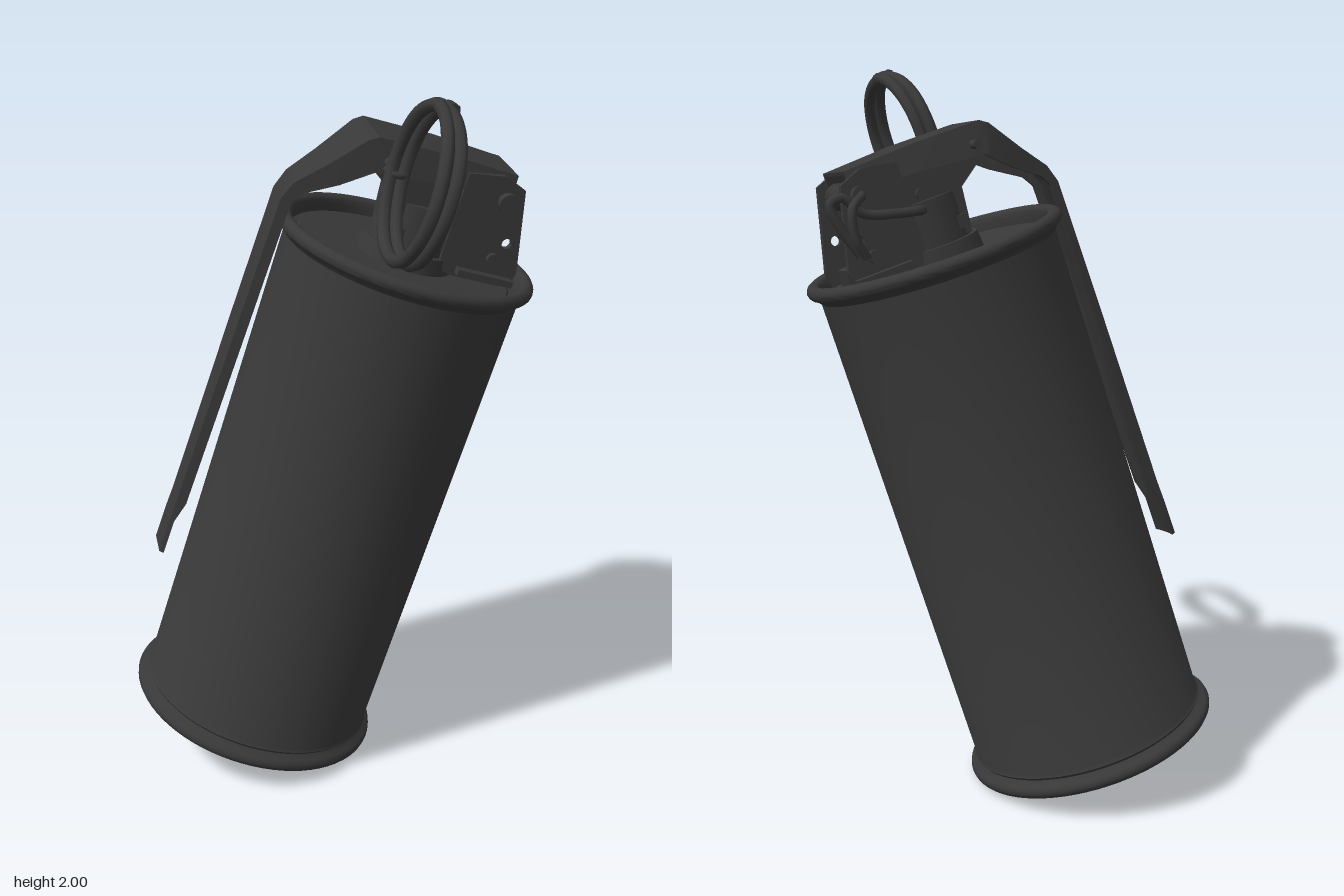
import * as THREE from 'three';
import { toCreasedNormals } from 'three/addons/utils/BufferGeometryUtils.js';

const metal = new THREE.MeshStandardMaterial({ color: 0x383838, side: THREE.DoubleSide });
metal.name = 'dark metal';

function add(parent, name, geometry, x = 0, y = 0, z = 0) {
  const mesh = new THREE.Mesh(geometry, metal);
  mesh.name = name;
  mesh.position.set(x, y, z);
  parent.add(mesh);
  return mesh;
}

// Cylinder lying along x
function rod(parent, name, r, length, x, y, z, sides = 20) {
  const g = new THREE.CylinderGeometry(r, r, length, sides).rotateZ(Math.PI / 2);
  return add(parent, name, g, x, y, z);
}

function tube(parent, name, points, r, segments = 40) {
  const curve = new THREE.CatmullRomCurve3(points.map(p => new THREE.Vector3(...p)));
  return add(parent, name, new THREE.TubeGeometry(curve, segments, r, 8), 0, 0, 0);
}

// Plate drawn in the z-y plane, given thickness along x and centred on x
function sidePlate(parent, name, outline, thickness, x, holes = []) {
  const shape = new THREE.Shape(outline.map(([z, y]) => new THREE.Vector2(-z, y)));
  for (const [z, y, r] of holes) shape.holes.push(new THREE.Path().absarc(-z, y, r, 0, Math.PI * 2));
  const g = new THREE.ExtrudeGeometry(shape, { depth: thickness, bevelEnabled: false, curveSegments: 10 });
  g.translate(0, 0, -thickness / 2).rotateY(Math.PI / 2);
  return add(parent, name, g, x);
}

// Rolled rim profile around (r, y)
function bead(r, y, size, from, to) {
  return Array.from({ length: 11 }, (_, i) => {
    const a = THREE.MathUtils.degToRad(from + (to - from) * i / 10);
    return new THREE.Vector2(r + size * Math.cos(a), y + size * Math.sin(a));
  });
}

function canGeometry() {
  const v = (r, y) => new THREE.Vector2(r, y);
  const profile = [
    v(0, 0.075), v(0.3, 0.075), v(0.322, 0.06),
    ...bead(0.342, 0.018, 0.02, 180, 440),
    v(0.335, 0.048), v(0.34, 0.056), v(0.335, 0.064), v(0.333, 1.455),
    ...bead(0.342, 1.49, 0.02, -80, 180),
    v(0.32, 1.465), v(0.3, 1.465), v(0.295, 1.47), v(0, 1.47),
  ];
  return toCreasedNormals(new THREE.LatheGeometry(profile, 72), 0.6);
}

// Folded channel lofted along stations of [y, z, half width, flange depth]
function leverGeometry() {
  const stations = [
    [1.78, -0.2, 0.1, 0.06], [1.79, 0.0, 0.11, 0.075], [1.79, 0.2, 0.112, 0.09],
    [1.775, 0.225, 0.11, 0.085], [1.68, 0.305, 0.085, 0.06], [1.61, 0.37, 0.064, 0.035],
    [1.56, 0.39, 0.06, 0.028], [1.2, 0.402, 0.058, 0.028], [0.64, 0.42, 0.048, 0.028],
    [0.58, 0.423, 0.05, 0.012], [0.475, 0.426, 0.05, 0.012],
  ];
  const t = 0.01, positions = [], index = [], n = 8;
  stations.forEach(([y, z, w, d], i) => {
    const a = stations[Math.max(i - 1, 0)], b = stations[Math.min(i + 1, stations.length - 1)];
    const dir = new THREE.Vector2(b[1] - a[1], b[0] - a[0]).normalize();
    const [nz, ny] = [-dir.y, dir.x], c = w * 0.88;
    const section = [[-w, -d], [-c, 0], [c, 0], [w, -d], [w - t, -d], [c - t, -t], [t - c, -t], [t - w, -d]];
    for (const [x, h] of section) positions.push(x, y + h * ny, z + h * nz);
    if (i === 0) return;
    for (let k = 0; k < n; k++) {
      const p = (i - 1) * n + k, q = (i - 1) * n + (k + 1) % n;
      index.push(p, p + n, q + n, p, q + n, q);
    }
  });
  const last = (stations.length - 1) * n;
  for (const [a, b, c, d] of [[0, 1, 6, 7], [1, 2, 5, 6], [2, 3, 4, 5]]) {
    index.push(a, b, c, a, c, d, last + a, last + c, last + b, last + a, last + d, last + c);
  }
  const g = new THREE.BufferGeometry();
  g.setAttribute('position', new THREE.Float32BufferAttribute(positions, 3));
  g.setIndex(index);
  return toCreasedNormals(g, 0.5);
}

function buildHead() {
  const head = new THREE.Group();
  head.name = 'fuseHead';
  add(head, 'neckCollar', new THREE.CylinderGeometry(0.13, 0.135, 0.05, 40), 0, 1.49, 0);
  add(head, 'neck', new THREE.CylinderGeometry(0.115, 0.115, 0.14, 40), 0, 1.57, 0);

  // Main block with a forward lug for the pin
  const block = [[-0.1, 1.52], [0.09, 1.52], [0.1, 1.64], [0.185, 1.7], [0.185, 1.755], [-0.1, 1.755]];
  sidePlate(head, 'fuseBlock', block, 0.18, 0);

  for (const s of [-1, 1]) {
    // Hinge cheeks that widen towards the lid
    const cheek = [[-0.06, 1.485], [-0.275, 1.485], [-0.28, 1.53], [-0.225, 1.75], [-0.16, 1.775], [-0.06, 1.76]];
    sidePlate(head, 'hingeCheek', cheek, 0.018, s * 0.1, [[-0.225, 1.6, 0.014]]);
    add(head, 'cheekFoot', new THREE.BoxGeometry(0.045, 0.018, 0.16), s * 0.115, 1.5, -0.19);
    rod(head, 'hingeCap', 0.026, 0.022, s * 0.12, 1.71, -0.185);
    rod(head, 'lowerRivet', 0.018, 0.016, s * 0.115, 1.55, -0.2);
    rod(head, 'frontRivet', 0.014, 0.014, s * 0.096, 1.66, -0.02);
    add(head, 'blockStep', new THREE.BoxGeometry(0.014, 0.035, 0.17), s * 0.094, 1.555, 0.0);
  }

  // Striker between the cheeks
  rod(head, 'hingePin', 0.017, 0.26, 0, 1.71, -0.185);
  rod(head, 'strikerRoller', 0.034, 0.09, 0, 1.71, -0.185);
  for (const x of [-0.07, -0.057, 0.057, 0.07]) {
    const coil = add(head, 'springCoil', new THREE.TorusGeometry(0.03, 0.007, 6, 20), x, 1.71, -0.185);
    coil.rotation.y = Math.PI / 2;
  }
  add(head, 'strikerArm', new THREE.BoxGeometry(0.07, 0.09, 0.03), 0, 1.655, -0.17);
  add(head, 'rearBase', new THREE.BoxGeometry(0.18, 0.05, 0.16), 0, 1.5, -0.17);
  const boss = add(head, 'rearBoss', new THREE.CylinderGeometry(0.032, 0.036, 0.03, 20), 0, 1.575, -0.11);
  boss.rotation.x = Math.PI / 2;
  add(head, 'rearBossTip', new THREE.SphereGeometry(0.018, 14, 10), 0, 1.575, -0.128);
  return head;
}

function buildPinAndRing() {
  const group = new THREE.Group();
  group.name = 'pullPin';
  rod(group, 'pinShaft', 0.012, 0.31, 0.015, 1.735, 0.16, 12);
  add(group, 'pinEye', new THREE.TorusGeometry(0.026, 0.009, 8, 24), 0.19, 1.735, 0.16).rotation.x = Math.PI / 2;

  // Two-turn split ring
  const points = Array.from({ length: 65 }, (_, i) => {
    const a = Math.PI / 2 + i / 64 * Math.PI * 4;
    const step = THREE.MathUtils.smoothstep(i / 64, 0.42, 0.58);
    return [0.39 + 0.192 * Math.cos(a), 1.77 + 0.192 * Math.sin(a), 0.143 + 0.034 * step];
  });
  tube(group, 'pullRing', points, 0.017, 160);
  for (const p of [points[0], points[64]]) {
    add(group, 'ringEnd', new THREE.CylinderGeometry(0.017, 0.017, 0.008, 8).rotateZ(Math.PI / 2), ...p);
  }
  return group;
}

function buildClip() {
  const clip = new THREE.Group();
  clip.name = 'safetyClip';
  // Bent wire on the side away from the ring
  tube(clip, 'clipWire', [
    [-0.1, 1.62, -0.04], [-0.15, 1.625, -0.05], [-0.165, 1.64, -0.12], [-0.165, 1.67, -0.21],
    [-0.165, 1.725, -0.25], [-0.165, 1.72, -0.285], [-0.165, 1.66, -0.28], [-0.165, 1.57, -0.25],
  ], 0.013);
  tube(clip, 'clipReturn', [
    [-0.1, 1.71, -0.185], [-0.14, 1.71, -0.19], [-0.185, 1.69, -0.24], [-0.185, 1.62, -0.255], [-0.175, 1.56, -0.24],
  ], 0.012);
  return clip;
}

export function createModel() {
  const model = new THREE.Group();
  model.name = 'canister';
  const body = new THREE.Group();
  body.name = 'tiltedCanister';
  add(body, 'can', canGeometry());
  add(body, 'lever', leverGeometry());
  body.add(buildHead(), buildPinAndRing(), buildClip());

  // Lean the whole canister: local y is its axis, local z faces the lever
  const up = new THREE.Vector3(0.37, 1.42, -0.255).normalize();
  const side = new THREE.Vector3().crossVectors(up, new THREE.Vector3(-0.54, 0.29, 0.79)).normalize();
  const front = new THREE.Vector3().crossVectors(side, up);
  body.quaternion.setFromRotationMatrix(new THREE.Matrix4().makeBasis(side, up, front));
  body.position.set(-0.245, 0.107, 0.135);
  model.add(body);
  return model;
}
